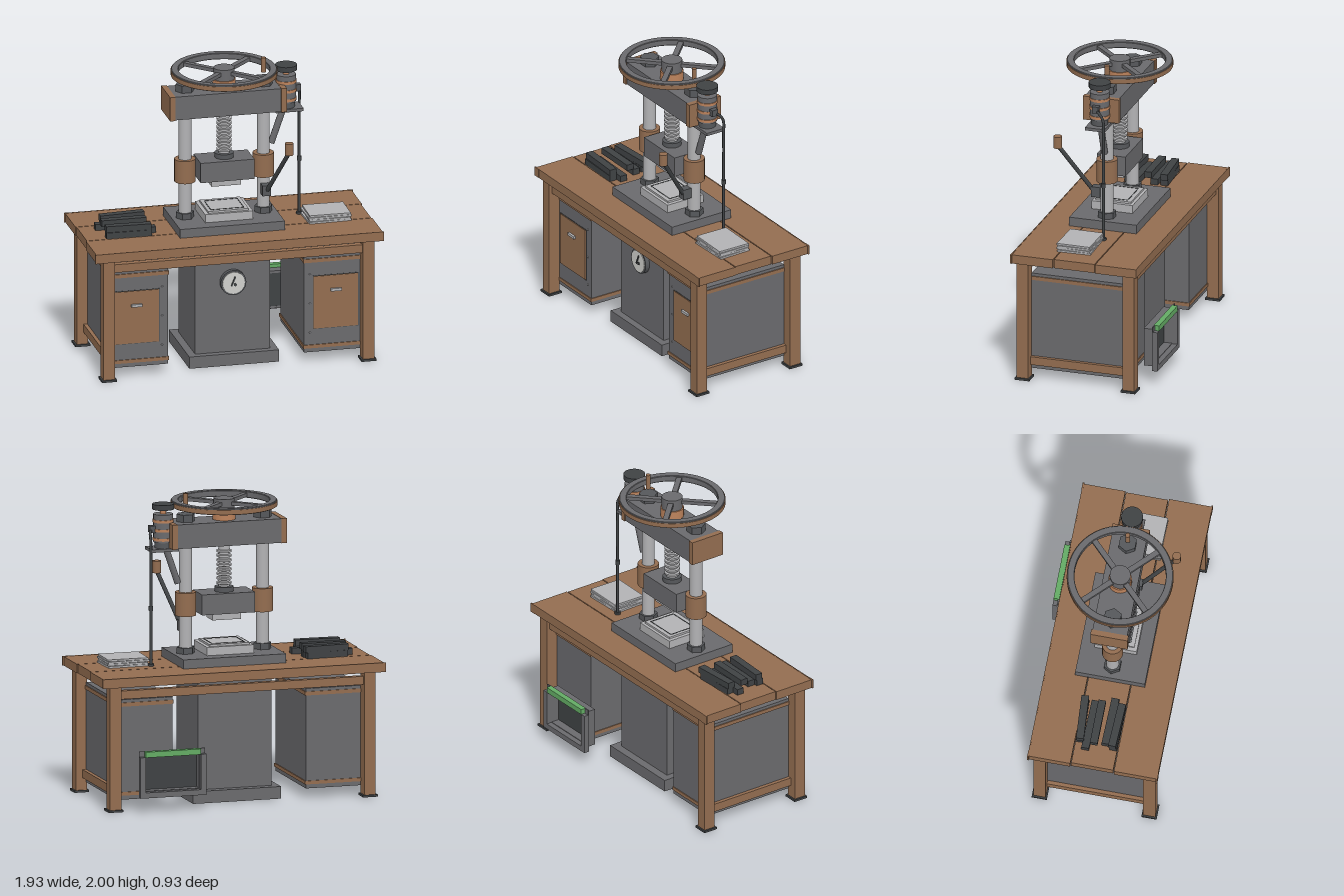
import * as THREE from 'three';
import { toCreasedNormals } from 'three/addons/utils/BufferGeometryUtils.js';

const colour = (name, hex) => {
  const m = new THREE.MeshStandardMaterial({ color: hex });
  m.name = name;
  return m;
};

export function createModel() {
  const wood = colour('wood', 0x936d50);
  const steel = colour('steel', 0x6a6a6d);
  const dark = colour('darkIron', 0x3f4244);
  const iron = colour('iron', 0x56585b);
  const pale = colour('paleSteel', 0xb2b2b4);
  const ivory = colour('dialWhite', 0xcfcfcb);
  const copper = colour('copper', 0xbd835c);
  const green = colour('green', 0x63ab64);

  const root = new THREE.Group();
  root.name = 'pressBench';
  const group = (name, parent = root) => {
    const g = new THREE.Group();
    g.name = name;
    parent.add(g);
    return g;
  };
  const add = (parent, name, geo, mat, x = 0, y = 0, z = 0) => {
    const m = new THREE.Mesh(geo, mat);
    m.name = name;
    m.position.set(x, y, z);
    parent.add(m);
    return m;
  };
  // box given by its limits on each axis
  const box = (p, name, mat, x0, x1, y0, y1, z0, z1) =>
    add(p, name, new THREE.BoxGeometry(x1 - x0, y1 - y0, z1 - z0), mat, (x0 + x1) / 2, (y0 + y1) / 2, (z0 + z1) / 2);
  // upright cylinder from y0 to y1
  const cyl = (p, name, mat, x, z, y0, y1, r, sides = 24) =>
    add(p, name, new THREE.CylinderGeometry(r, r, y1 - y0, sides), mat, x, (y0 + y1) / 2, z);
  // upright hexagon with corners pointing sideways
  const hex = (p, name, mat, x, y0, y1, r) => {
    const geo = toCreasedNormals(new THREE.CylinderGeometry(r, r, y1 - y0, 6), 0.5);
    add(p, name, geo, mat, x, (y0 + y1) / 2, 0).rotation.y = Math.PI / 6;
  };
  // round bar between two points
  const bar = (p, name, mat, a, b, r) => {
    const A = new THREE.Vector3(...a), B = new THREE.Vector3(...b);
    const m = add(p, name, new THREE.CylinderGeometry(r, r, A.distanceTo(B), 12), mat);
    m.position.copy(A).lerp(B, 0.5);
    m.quaternion.setFromUnitVectors(new THREE.Vector3(0, 1, 0), B.sub(A).normalize());
  };

  // Table: planks, edge strips, rails, legs
  const table = group('table');
  for (const [z0, z1, w] of [[-0.39, -0.113, 0.957], [-0.107, 0.17, 0.95], [0.176, 0.458, 0.957]])
    box(table, 'topPlank', wood, -w, w, 0.825, 0.885, z0, z1);
  for (const z of [-0.394, 0.456]) {
    box(table, 'edgeStrip', wood, -0.965, 0.965, 0.825, 0.887, z, z + 0.006);
    for (const s of [-1, 1])
      box(table, 'cornerPlate', wood, s * 0.942 - 0.023, s * 0.942 + 0.023, 0.825, 0.887, z - 0.002, z + 0.008);
  }
  box(table, 'underBoard', wood, -0.27, 0.27, 0.79, 0.825, -0.22, 0.29);
  for (const z of [-0.345, 0.38]) box(table, 'rail', wood, -0.84, 0.84, 0.74, 0.795, z, z + 0.04);
  for (const s of [-1, 1]) for (const z of [-0.325, 0.4]) {
    const x = s * 0.867;
    box(table, 'leg', wood, x - 0.038, x + 0.038, 0.014, 0.825, z - 0.04, z + 0.04);
    box(table, 'footPlate', dark, x - 0.05, x + 0.05, 0, 0.014, z - 0.05, z + 0.05);
  }

  // Cabinets under both ends
  for (const s of [-1, 1]) {
    const c = group(s > 0 ? 'leftCabinet' : 'rightCabinet');
    const sided = (name, mat, x0, x1, ...r) => box(c, name, mat, Math.min(s * x0, s * x1), Math.max(s * x0, s * x1), ...r);
    sided('cabinetBody', steel, 0.455, 0.835, 0.065, 0.725, -0.285, 0.36);
    sided('upperBand', wood, 0.449, 0.842, 0.68, 0.705, -0.291, 0.366);
    sided('lowerBand', wood, 0.449, 0.842, 0.092, 0.115, -0.291, 0.366);
    sided('sideStretcher', wood, 0.835, 0.86, 0.095, 0.15, -0.29, 0.365);
    sided('doorFrame', dark, 0.513, 0.818, 0.222, 0.588, 0.358, 0.362);
    sided('door', wood, 0.517, 0.815, 0.226, 0.584, 0.36, 0.367);
    sided('handle', pale, 0.63, 0.702, 0.477, 0.495, 0.365, 0.382);
    for (const y of [0.2, 0.4, 0.6])
      add(c, 'rivet', new THREE.SphereGeometry(0.006, 10, 8), pale, s * 0.494, y, 0.36);
  }

  // Pedestal with pressure gauge
  const pedestal = group('pedestal');
  box(pedestal, 'pedestalBase', steel, -0.3, 0.3, 0, 0.08, -0.245, 0.312);
  box(pedestal, 'pedestalColumn', steel, -0.25, 0.25, 0.08, 0.79, -0.19, 0.265);
  const gauge = group('gauge', pedestal);
  gauge.position.set(0, 0.56, 0.265);
  gauge.rotation.x = Math.PI / 2;
  cyl(gauge, 'gaugeRim', iron, 0, 0, 0, 0.03, 0.085, 32);
  cyl(gauge, 'gaugeFace', ivory, 0, 0, 0.028, 0.034, 0.074, 32);
  cyl(gauge, 'gaugePin', dark, 0.01, 0.012, 0.03, 0.04, 0.01, 12);
  const needle = add(gauge, 'needle', new THREE.BoxGeometry(0.009, 0.006, 0.07), dark, -0.002, 0.037, -0.012);
  needle.rotation.y = -0.4;

  // Press, centred on its own axis
  const press = group('press');
  press.position.z = 0.035;
  box(press, 'bed', steel, -0.35, 0.35, 0.885, 0.945, -0.23, 0.23);
  box(press, 'platen', pale, -0.16, 0.16, 0.945, 1.0, -0.14, 0.14);
  box(press, 'platenTop', pale, -0.135, 0.135, 1.0, 1.013, -0.12, 0.12);
  for (const s of [-1, 1]) {
    box(press, 'platenLine', dark, -0.11, 0.11, 1.01, 1.015, s * 0.09 - 0.003, s * 0.09 + 0.003);
    box(press, 'platenLine', dark, s * 0.11 - 0.003, s * 0.11 + 0.003, 1.01, 1.015, -0.09, 0.09);
    const x = s * 0.262;
    cyl(press, 'pillar', pale, x, 0, 0.94, 1.66, 0.042);
    hex(press, 'pillarFoot', iron, x, 0.945, 0.985, 0.06);
    cyl(press, 'pillarSleeve', wood, x, 0, 1.195, 1.35, 0.069);
    hex(press, 'pillarNut', iron, x, 1.815, 1.865, 0.062);
    box(press, 'beamCap', wood, s * 0.372 - 0.018, s * 0.372 + 0.018, 1.655, 1.818, -0.123, 0.123);
  }
  box(press, 'crossBeam', steel, -0.355, 0.355, 1.657, 1.816, -0.115, 0.115);
  cyl(press, 'beamBush', copper, 0, 0, 1.815, 1.878, 0.076);

  // Screw with thread ridges
  const thread = [new THREE.Vector2(0.037, 1.36)];
  for (let y = 1.385; y < 1.62; y += 0.03)
    for (const [r, dy] of [[0.037, 0], [0.05, 0.004], [0.05, 0.016], [0.037, 0.02]]) thread.push(new THREE.Vector2(r, y + dy));
  thread.push(new THREE.Vector2(0.037, 1.66));
  add(press, 'screw', toCreasedNormals(new THREE.LatheGeometry(thread, 24), 0.6), pale);
  cyl(press, 'screwCollar', iron, 0, 0, 1.34, 1.372, 0.062);
  box(press, 'ram', steel, -0.18, 0.18, 1.205, 1.34, -0.098, 0.098);
  box(press, 'ramFace', pale, -0.098, 0.098, 1.16, 1.205, -0.06, 0.06);

  // Handwheel: flat rim with a wooden outer band
  const wheel = group('handwheel', press);
  const ring = (pts) => toCreasedNormals(new THREE.LatheGeometry(pts.map((p) => new THREE.Vector2(...p)), 64), 0.6);
  add(wheel, 'wheelRim', ring([[0.297, 1.908], [0.3, 1.904], [0.34, 1.904], [0.343, 1.908], [0.343, 1.943],
    [0.34, 1.947], [0.3, 1.947], [0.297, 1.943], [0.297, 1.908]]), steel);
  add(wheel, 'rimBand', ring([[0.342, 1.908], [0.347, 1.908], [0.347, 1.938], [0.342, 1.938]]), wood);
  for (const a of [Math.PI / 4, -Math.PI / 4])
    add(wheel, 'spokes', new THREE.BoxGeometry(0.62, 0.024, 0.036), steel, 0, 1.924, 0).rotation.y = a;
  cyl(wheel, 'wheelHub', steel, 0, 0, 1.875, 1.955, 0.068);
  cyl(wheel, 'wheelKnob', wood, 0.263, 0, 1.9, 2, 0.016, 16);

  // Oil cup on its bracket, with feed pipe
  const oiler = group('oiler', press);
  box(oiler, 'shelf', steel, 0.33, 0.515, 1.632, 1.652, -0.068, 0.068);
  bar(oiler, 'shelfBrace', steel, [0.395, 1.64, 0], [0.315, 1.41, 0], 0.022);
  cyl(oiler, 'cupBase', iron, 0.415, 0, 1.65, 1.69, 0.056);
  cyl(oiler, 'cup', steel, 0.415, 0, 1.69, 1.875, 0.064);
  for (const y of [1.71, 1.77, 1.83]) cyl(oiler, 'cupRing', copper, 0.415, 0, y - 0.009, y + 0.009, 0.068);
  cyl(oiler, 'cupNeck', copper, 0.415, 0, 1.875, 1.907, 0.02);
  cyl(oiler, 'cupCap', dark, 0.415, 0, 1.905, 1.94, 0.071);
  box(oiler, 'pipeFitting', iron, 0.47, 0.51, 1.755, 1.8, -0.022, 0.022);
  const path = new THREE.CatmullRomCurve3([[0.48, 1.778, 0], [0.508, 1.765, -0.02], [0.517, 1.72, -0.055],
    [0.517, 1.6, -0.06], [0.517, 1.25, -0.06], [0.517, 0.885, -0.06]].map((p) => new THREE.Vector3(...p)));
  add(oiler, 'feedPipe', new THREE.TubeGeometry(path, 48, 0.0095, 10), dark);
  cyl(oiler, 'pipeCoupling', dark, 0.517, -0.06, 1.25, 1.28, 0.015, 12);
  cyl(oiler, 'pipeFlange', dark, 0.517, -0.06, 0.885, 0.9, 0.02, 12);

  // Hand lever
  const lever = group('lever');
  box(lever, 'leverPivot', iron, 0.234, 0.288, 1.08, 1.15, 0.075, 0.135);
  bar(lever, 'leverArm', dark, [0.265, 1.11, 0.12], [0.36, 1.435, 0.335], 0.014);
  cyl(lever, 'leverGrip', wood, 0.36, 0.34, 1.425, 1.505, 0.028, 16);

  // Stacked bars: x, z, layer, turn, length
  const bars = group('barStack');
  for (const [x, z, layer, turn, len] of [[-0.655, -0.088, 1, 0.07, 0.3], [-0.68, -0.032, 0, -0.02, 0.335],
    [-0.668, 0.016, 1, 0, 0.3], [-0.635, 0.092, 0, -0.02, 0.32], [-0.667, 0.142, 1, -0.04, 0.3],
    [-0.66, -0.088, 0, 0.05, 0.28], [-0.667, 0.147, 0, -0.02, 0.3]])
    add(bars, 'bar', new THREE.BoxGeometry(len, 0.041, 0.05), dark, x, 0.906 + layer * 0.041, z).rotation.y = turn;

  // Stack of sheets
  const sheets = group('sheetStack');
  for (let i = 0; i < 4; i++)
    add(sheets, 'sheet', new THREE.BoxGeometry(0.285 - (i % 2) * 0.012, 0.012, 0.225), pale,
      0.668 + (i % 2) * 0.004, 0.892 + i * 0.0145, 0.084).rotation.y = [0.03, -0.03, 0.02, -0.015][i];

  // Open bin behind the table
  const bin = group('rearBin');
  const frame = (name, x0, x1, y0, y1, t, z0, z1) => {
    const corners = (d) => [[x0 + d, y0 + d], [x1 - d, y0 + d], [x1 - d, y1 - d], [x0 + d, y1 - d]].map((p) => new THREE.Vector2(...p));
    const shape = new THREE.Shape(corners(0));
    shape.holes.push(new THREE.Path(corners(t).reverse()));
    add(bin, name, new THREE.ExtrudeGeometry(shape, { depth: z1 - z0, bevelEnabled: false }), steel, 0, 0, z0);
  };
  box(bin, 'binSill', steel, 0.28, 0.73, 0.1, 0.136, -0.465, -0.428);
  for (const x of [0.28, 0.694]) box(bin, 'binPost', steel, x, x + 0.036, 0.136, 0.37, -0.465, -0.428);
  box(bin, 'binLintel', green, 0.316, 0.694, 0.368, 0.405, -0.465, -0.428);
  for (const x of [0.28, 0.694]) box(bin, 'binCorner', steel, x, x + 0.036, 0.37, 0.405, -0.436, -0.428);
  frame('binWalls', 0.302, 0.708, 0.124, 0.382, 0.016, -0.428, -0.365);
  box(bin, 'binPanel', dark, 0.316, 0.694, 0.138, 0.368, -0.372, -0.366);

  return root;
}
